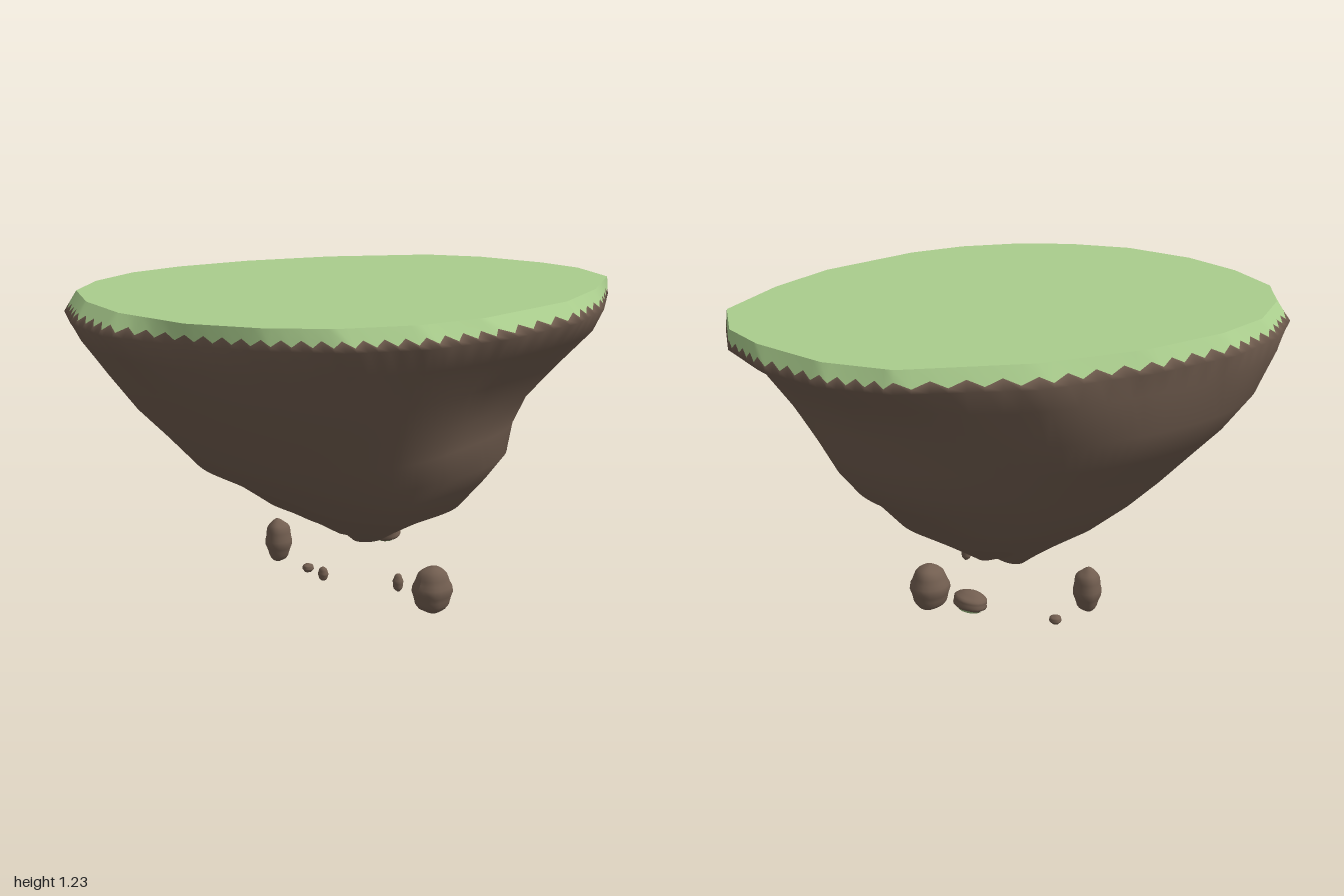
import * as THREE from 'three';

const grass = new THREE.MeshStandardMaterial({ name: 'grass green', color: 0xaacd8d });
const dirt = new THREE.MeshStandardMaterial({ name: 'earth brown', color: 0x725e50 });

// Island outlines as [x, z], running from +x towards +z
const rim = [[1, 0], [.96, .25], [.84, .48], [.54, .69], [.25, .81], [-.12, .85], [-.41, .81], [-.63, .69],
  [-.79, .5], [-.9, .29], [-1, 0], [-.96, -.26], [-.85, -.5], [-.66, -.7], [-.44, -.81], [-.19, -.85],
  [.14, -.81], [.5, -.7], [.84, -.46], [.96, -.26]];
const lawn = [[.97, .05], [.95, .25], [.83, .48], [.54, .65], [.25, .76], [-.18, .8], [-.41, .76], [-.63, .65],
  [-.78, .5], [-.9, .29], [-.94, 0], [-.9, -.26], [-.8, -.5], [-.63, -.66], [-.41, -.77], [-.18, -.8],
  [.13, -.77], [.47, -.66], [.82, -.44], [.93, -.24]];
const TOP = 1.235, RIM = 1.17, AXIS = [.08, -.03];

// Cliff reach at each height, in eight directions from +x through +z, -x and -z
const cliff = [
  [1.09, .89, .86, .77, .87, .935, .92, .78, .84],
  [.96, .81, .75, .62, .79, .83, .86, .78, .77],
  [.84, .76, .64, .565, .70, .745, .77, .70, .70],
  [.73, .70, .59, .505, .62, .64, .67, .58, .64],
  [.63, .61, .57, .505, .54, .56, .57, .52, .56],
  [.53, .47, .50, .40, .44, .38, .46, .42, .47],
  [.43, .38, .41, .33, .31, .24, .33, .32, .37],
  [.36, .27, .28, .19, .15, .08, .20, .23, .24],
  [.285, .17, .12, .08, .03, -.02, .06, .15, .13]];

// Splits every side of an outline into eight pieces
function refine(outline, y) {
  const row = [];
  outline.forEach(([x, z], i) => {
    const [x2, z2] = outline[(i + 1) % outline.length];
    for (let k = 0; k < 8; k++) {
      row.push(new THREE.Vector3(x + (x2 - x) * k / 8, y, z + (z2 - z) * k / 8));
    }
  });
  return row;
}

// Skins closed rings listed from top to bottom
function skin(rows) {
  const n = rows[0].length, index = [];
  for (let i = 0; i < rows.length - 1; i++) {
    for (let j = 0; j < n; j++) {
      const k = (j + 1) % n, a = i * n + j, c = i * n + k;
      index.push(a, c, a + n, c, c + n, a + n);
    }
  }
  const geo = new THREE.BufferGeometry().setFromPoints(rows.flat());
  geo.setIndex(index);
  geo.computeVertexNormals();
  return geo;
}

// Smooth radius around the axis at a given angle
function reach(level, angle) {
  const radii = level.slice(1).map((r, i) => {
    const a = i * Math.PI / 4;
    return r - AXIS[0] * Math.cos(a) - AXIS[1] * Math.sin(a);
  });
  const f = ((angle / (Math.PI / 4)) % 8 + 8) % 8, i = Math.floor(f), t = f - i;
  const [a, b, c, d] = [7, 8, 9, 10].map((k) => radii[(i + k) % 8]);
  return b + .5 * t * (c - a + t * (2 * a - 5 * b + 4 * c - d + t * (3 * (b - c) + d - a)));
}

// Lumpy stone with soft horizontal ledges
function stone(radii, seed, thetaStart = 0) {
  const geo = new THREE.SphereGeometry(1, 20, 16, 0, Math.PI * 2, thetaStart, Math.PI - thetaStart);
  const p = geo.attributes.position, v = new THREE.Vector3();
  for (let i = 0; i < p.count; i++) {
    v.fromBufferAttribute(p, i);
    const lump = .96 + .04 * Math.sin(v.y * 9 + seed) + .04 * Math.sin(v.x * 4 + seed * 2) * Math.cos(v.z * 4 - seed);
    v.multiplyScalar(lump);
    p.setXYZ(i, v.x * radii[0], v.y * radii[1], v.z * radii[2]);
  }
  geo.computeVertexNormals();
  return geo;
}

export function createModel() {
  const model = new THREE.Group();
  const add = (name, geometry, material, parent = model) => {
    const mesh = new THREE.Mesh(geometry, material);
    mesh.name = name;
    parent.add(mesh);
  };

  const upper = refine(lawn, TOP), lower = refine(rim, RIM);

  // Flat lawn on top
  const lawnShape = new THREE.Shape(lawn.map(([x, z]) => new THREE.Vector2(x, -z)));
  add('lawn', new THREE.ShapeGeometry(lawnShape).rotateX(-Math.PI / 2).translate(0, TOP, 0), grass);

  // Sloping grass edge with a jagged lower line
  const jag = upper.map((p, j) => p.clone().lerp(lower[j], j % 2 ? .8 : .5));
  add('grassEdge', skin([upper, jag]), grass);

  // Earth from the jagged line over the rim, narrowing to a blunt tip
  const rows = cliff.map((level) => lower.map((p) => {
    const angle = Math.atan2(p.z - AXIS[1], p.x - AXIS[0]);
    const r = reach(level, angle);
    return new THREE.Vector3(AXIS[0] + r * Math.cos(angle), level[0], AXIS[1] + r * Math.sin(angle));
  }));
  const tip = lower.map(() => new THREE.Vector3(AXIS[0], .275, AXIS[1]));
  add('cliff', skin([jag, lower, ...rows, tip]), dirt);

  // Floating stones: centre, radii
  const stones = [
    [[.214, .092, .22], [.079, .096, .075]],
    [[-.07, .208, -.345], [.052, .09, .052]],
    [[.308, .21, -.14], [.058, .04, .07]],
    [[.02, .175, .235], [.02, .036, .02]],
    [[-.178, .208, .05], [.018, .027, .021]],
    [[.02, .087, -.275], [.023, .018, .024]]];
  stones.forEach(([centre, radii], i) => {
    const group = new THREE.Group();
    group.name = 'floatingStone' + (i + 1);
    group.position.set(...centre);
    add('stone', stone(radii, i * 1.7 + 1), dirt, group);
    // One overturned, tilted stone carries turf underneath
    if (i === 2) {
      add('turf', stone(radii.map((r) => r * 1.04), i * 1.7 + 1, Math.PI * .7), grass, group);
      group.rotation.z = .15;
    }
    model.add(group);
  });
  return model;
}
